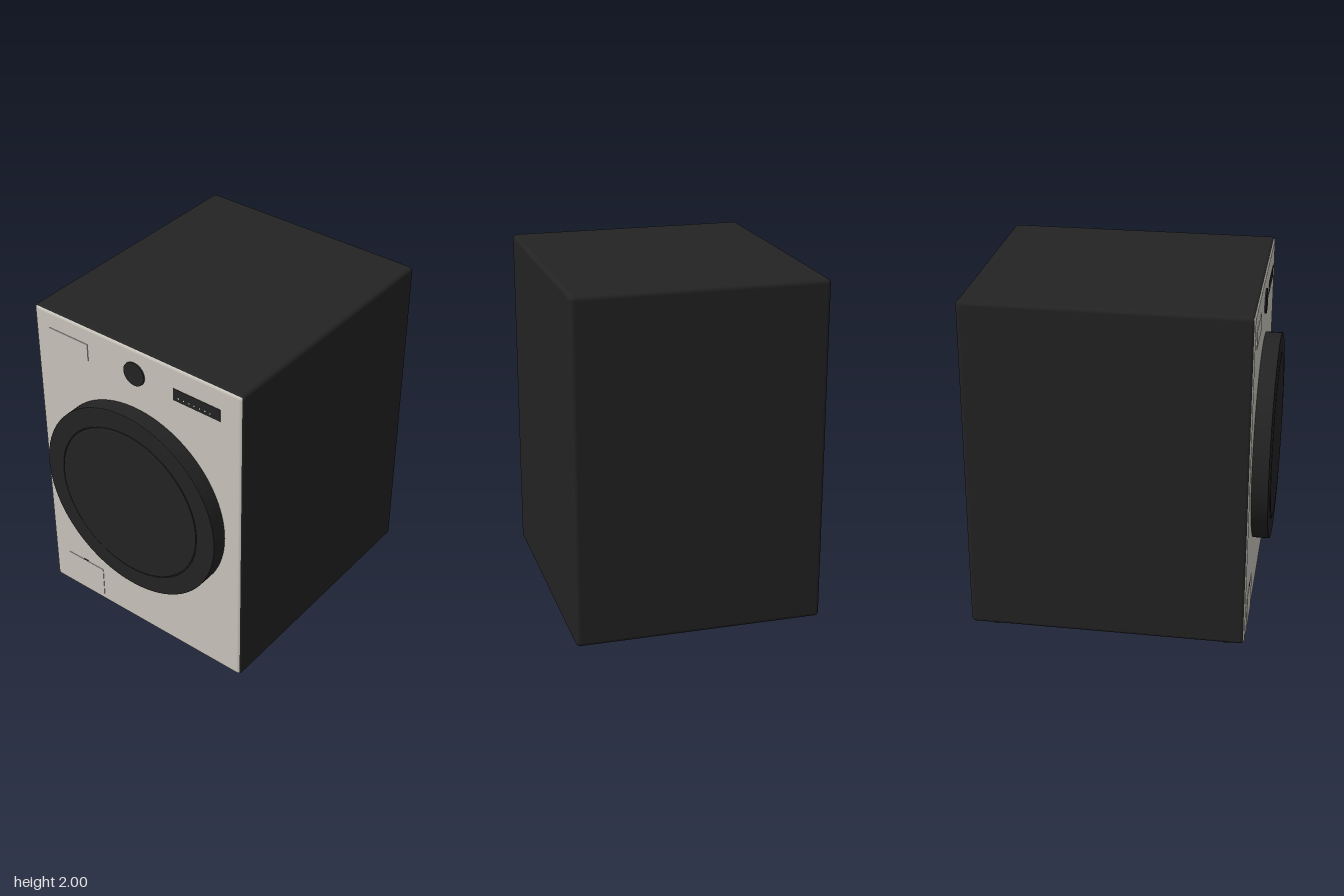
import * as THREE from 'three';
import { RoundedBoxGeometry } from 'three/addons/geometries/RoundedBoxGeometry.js';

export function createModel() {
  const model = new THREE.Group();
  model.name = 'washingMachine';

  const paint = (name, color) => {
    const m = new THREE.MeshStandardMaterial({ color });
    m.name = name;
    return m;
  };
  const charcoal = paint('charcoal', 0x232323);
  const beige = paint('warmBeige', 0xc8c4bb);
  const white = paint('indicatorWhite', 0xeeeeee);

  const add = (name, geometry, material, x, y, z) => {
    const mesh = new THREE.Mesh(geometry, material);
    mesh.name = name;
    mesh.position.set(x, y, z);
    model.add(mesh);
    return mesh;
  };
  const box = (name, w, h, d, material, x, y, z) =>
    add(name, new THREE.BoxGeometry(w, h, d), material, x, y, z);

  // Lathe whose axis points forward; each straight run keeps its own flat normals
  const turned = (name, profile, x, y, z) => {
    const points = profile.map(([r, h]) => new THREE.Vector2(r, h));
    for (let i = 0; i < points.length - 1; i++) {
      const mesh = add(name, new THREE.LatheGeometry([points[i], points[i + 1]], 96), charcoal, x, y, z);
      mesh.rotation.x = Math.PI / 2;
    }
  };

  // Cabinet: dark shell with a beige front face
  const d = charcoal;
  add('cabinet', new RoundedBoxGeometry(1.41, 1.963, 1.58, 4, 0.025),
    [d, d, d, d, beige, d], 0, 1.0185, -0.05);

  // Round door with a slightly raised centre
  turned('door', [[0.595, 0], [0.595, 0.093], [0.59, 0.095], [0.482, 0.095],
    [0.48, 0.092], [0.475, 0.092], [0.475, 0.098], [0.465, 0.1], [0, 0.1]], 0, 1.025, 0.74);

  // Program dial
  turned('dial', [[0.07, 0], [0.07, 0.008], [0.067, 0.01], [0, 0.01]], 0, 1.842, 0.74);

  // Display with a row of indicator lights
  box('display', 0.306, 0.074, 0.004, charcoal, 0.413, 1.828, 0.74);
  for (let i = 0; i < 7; i++) {
    box('indicatorLight', 0.007, 0.007, 0.002, white, 0.296 + i * 0.0345, 1.814, 0.7425);
  }

  // Detergent drawer and service hatch
  box('detergentDrawer', 0.27, 0.105, 0.008, beige, -0.46, 1.838, 0.74);
  box('serviceHatch', 0.27, 0.215, 0.006, beige, -0.452, 0.176, 0.74);
  box('hatchNotch', 0.03, 0.006, 0.006, charcoal, -0.452, 0.288, 0.741);

  // Feet
  for (const x of [-0.617, 0.617]) {
    for (const z of [-0.705, 0.63]) {
      add('foot', new THREE.CylinderGeometry(0.023, 0.023, 0.05, 20), charcoal, x, 0.025, z);
    }
  }
  return model;
}
